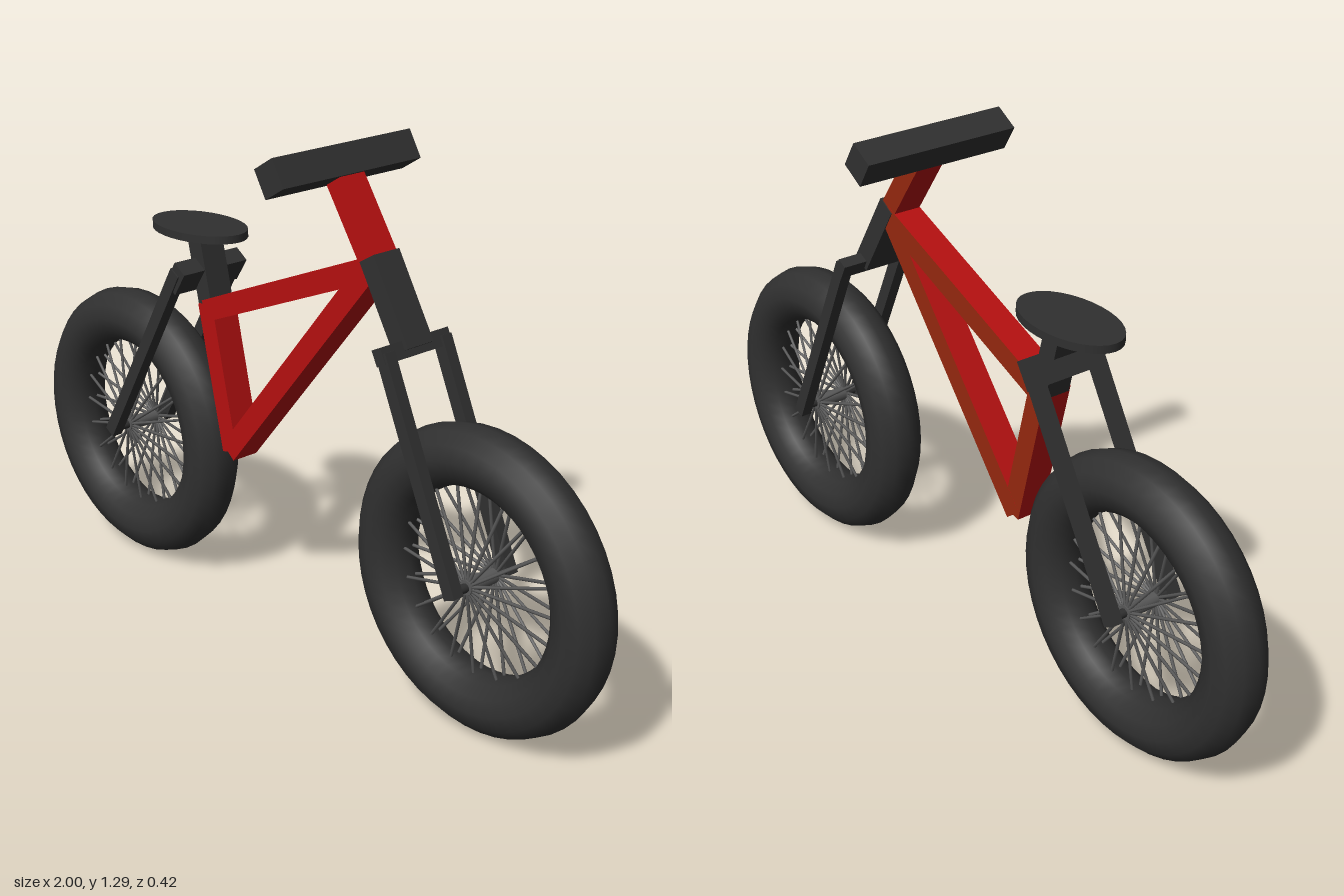
import * as THREE from 'three';

const flat = (name, color) => {
  const m = new THREE.MeshStandardMaterial({ color });
  m.name = name;
  return m;
};

export function createModel() {
  const red = flat('frame red', 0xb51010);
  const rust = flat('frame rust', 0x96280f);
  const dark = flat('dark rubber', 0x303030);
  const steel = flat('spoke grey', 0x585858);
  const bike = new THREE.Group();
  bike.name = 'bicycle';

  // frame tubes: red with a rust coloured back side
  const painted = [red, red, red, red, red, rust];

  const add = (name, geometry, material, parent = bike) => {
    const mesh = new THREE.Mesh(geometry, material);
    mesh.name = name;
    parent.add(mesh);
    return mesh;
  };

  // rectangular bar in the side plane, from a to b, at depth z
  const bar = (name, a, b, width, depth, material, z = 0) => {
    const dx = b[0] - a[0], dy = b[1] - a[1];
    const mesh = add(name, new THREE.BoxGeometry(width, Math.hypot(dx, dy), depth), material);
    mesh.position.set((a[0] + b[0]) / 2, (a[1] + b[1]) / 2, z);
    mesh.rotation.z = Math.atan2(dy, dx) - Math.PI / 2;
    return mesh;
  };

  // frame triangle and handlebar stem
  bar('topTube', [-0.3, 0.78], [0.29, 1.03], 0.055, 0.076, painted);
  bar('downTube', [-0.215, 0.423], [0.295, 1.04], 0.055, 0.0755, painted);
  bar('seatTube', [-0.298, 0.8], [-0.208, 0.425], 0.056, 0.075, painted);
  bar('stem', [0.15, 1.24], [0.3, 1.02], 0.052, 0.074, painted);

  // handlebar, steerer, fork crown
  bar('handlebar', [0.132, 1.27], [0.17, 1.208], 0.07, 0.42, dark);
  bar('steerer', [0.285, 1.055], [0.4, 0.865], 0.052, 0.08, dark);
  bar('forkCrown', [0.388, 0.885], [0.406, 0.85], 0.03, 0.212, dark);

  // seat post and bridge for the rear stays
  bar('seatPost', [-0.345, 0.975], [-0.298, 0.785], 0.05, 0.07, dark);
  bar('stayBridge', [-0.357, 0.838], [-0.318, 0.898], 0.045, 0.2, dark);

  // oval saddle
  const saddle = add('saddle', new THREE.CylinderGeometry(1, 1, 0.02, 32), dark);
  saddle.scale.set(0.153, 1, 0.092);
  saddle.position.set(-0.36, 0.978, 0);
  saddle.rotation.z = 0.025;

  // paired fork blades and rear stays
  for (const side of [-1, 1]) {
    bar('forkBlade', [0.4, 0.875], [0.632, 0.36], 0.034, 0.03, dark, side * 0.089);
    bar('rearStay', [-0.335, 0.885], [-0.64, 0.362], 0.034, 0.03, dark, side * 0.089);
  }

  // wheels: tyre, hub, axle and two dished rows of spokes
  const up = new THREE.Vector3(0, 1, 0);
  const makeWheel = (name, x) => {
    const wheel = new THREE.Group();
    wheel.name = name;
    wheel.position.set(x, 0.373, 0);
    bike.add(wheel);
    add('tyre', new THREE.TorusGeometry(0.2975, 0.0725, 12, 48), dark, wheel);
    add('hub', new THREE.CylinderGeometry(0.018, 0.018, 0.1, 12).rotateX(Math.PI / 2), steel, wheel);
    add('axle', new THREE.CylinderGeometry(0.011, 0.011, 0.2, 10).rotateX(Math.PI / 2), dark, wheel);
    for (const side of [-1, 1]) {
      for (let i = 0; i < 20; i++) {
        const t = (i / 20) * Math.PI * 2;
        const a = new THREE.Vector3(0.01 * Math.cos(t), 0.01 * Math.sin(t), side * 0.045);
        const b = new THREE.Vector3(0.235 * Math.cos(t), 0.235 * Math.sin(t), side * 0.012);
        const dir = b.clone().sub(a);
        const spoke = add('spoke', new THREE.CylinderGeometry(0.004, 0.004, dir.length(), 6), steel, wheel);
        spoke.position.copy(a).add(b).multiplyScalar(0.5);
        spoke.quaternion.setFromUnitVectors(up, dir.normalize());
      }
    }
  };
  makeWheel('frontWheel', 0.63);
  makeWheel('rearWheel', -0.63);

  return bike;
}
